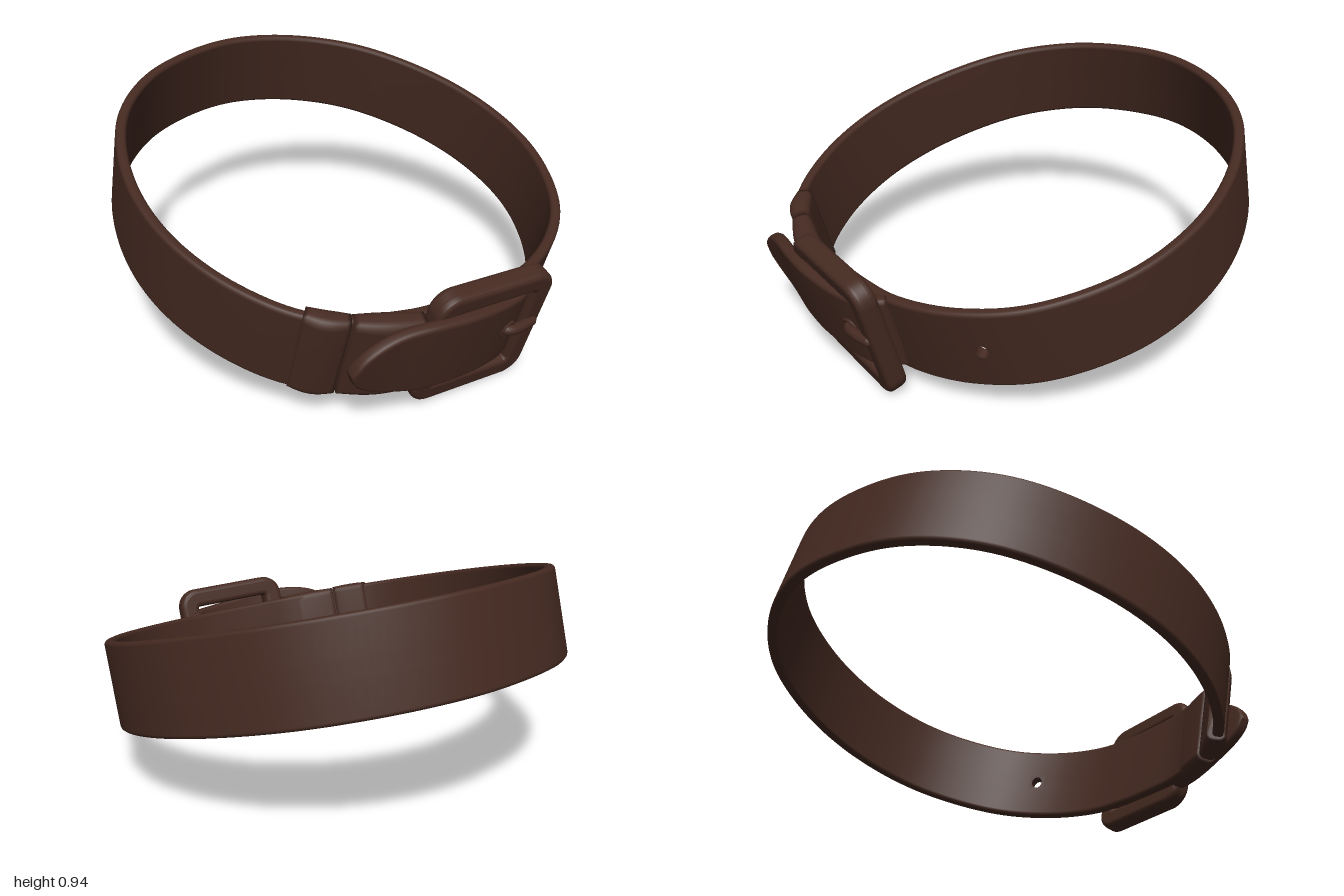
import * as THREE from 'three';

const leather = new THREE.MeshStandardMaterial({ color: 0x452a21 });
leather.name = 'dark brown';

const MID = 0.475;   // height of the strap's centre line before tilting
const THICK = 0.022; // half thickness of the strap
const HALF = 0.18;   // half width of the strap
const NOTCH = 0.035; // half size of the square around the punched hole

// Rounded rectangle: n is outward from the ring, v is up
function profile(h, H) {
  const r = Math.min(h, H) * 0.7, m = Math.min(NOTCH, H * 0.2);
  const pts = [[h, -m], [h, m]];
  const corner = (sx, sy, a0) => {
    for (let k = 0; k < 4; k++) {
      const a = a0 + (k / 3) * Math.PI / 2;
      pts.push([sx * (h - r) + r * Math.cos(a), sy * (H - r) + r * Math.sin(a)]);
    }
  };
  corner(1, 1, 0);
  corner(-1, 1, Math.PI / 2);
  pts.push([-h, m], [-h, -m]);
  corner(-1, -1, Math.PI);
  corner(1, -1, Math.PI * 1.5);
  return pts;
}

const outward = (curve, u) => {
  const t = curve.getTangentAt(u);
  return new THREE.Vector3(t.z, 0, -t.x).normalize();
};

// Sweep a strap profile along a curve; size(u, point) gives [half thickness, half width]
function sweep(curve, steps, size, closed = false, holeAt = -1) {
  const pos = [], idx = [];
  const rings = closed ? steps : steps + 1;
  let count = 0;
  for (let i = 0; i < rings; i++) {
    const p = curve.getPointAt(i / steps), n = outward(curve, i / steps);
    const pts = profile(...size(i / steps, p));
    count = pts.length;
    for (const [a, b] of pts) pos.push(p.x + n.x * a, p.y + b, p.z + n.z * a);
  }
  for (let i = 0; i < steps; i++) {
    const i2 = (i + 1) % rings;
    for (let j = 0; j < count; j++) {
      // leave room for the punched plate on both faces
      if ((i === holeAt || i === holeAt - 1) && (j === 0 || j === 10)) continue;
      const k = (j + 1) % count;
      const a = i * count + j, b = i * count + k, c = i2 * count + k, d = i2 * count + j;
      idx.push(a, b, d, b, c, d);
    }
  }
  if (!closed) {
    for (const end of [0, steps]) {
      const p = curve.getPointAt(end / steps), centre = pos.length / 3;
      pos.push(p.x, p.y, p.z);
      for (let j = 0; j < count; j++) {
        const a = end * count + j, b = end * count + (j + 1) % count;
        if (end === 0) idx.push(centre, b, a);
        else idx.push(centre, a, b);
      }
    }
  }
  const g = new THREE.BufferGeometry();
  g.setAttribute('position', new THREE.Float32BufferAttribute(pos, 3));
  g.setIndex(idx);
  g.computeVertexNormals();
  return g;
}

const path = (pts, closed = false) => new THREE.CatmullRomCurve3(
  pts.map(([x, z, y = MID]) => new THREE.Vector3(x, y, z)), closed, 'centripetal');

function roundedRect(target, w, h, r) {
  target.moveTo(-w + r, -h);
  target.lineTo(w - r, -h);
  target.absarc(w - r, -h + r, r, -Math.PI / 2, 0);
  target.absarc(w - r, h - r, r, 0, Math.PI / 2);
  target.absarc(-w + r, h - r, r, Math.PI / 2, Math.PI);
  target.absarc(-w + r, -h + r, r, Math.PI, Math.PI * 1.5);
  return target;
}

export function createModel() {
  const model = new THREE.Group();
  const belt = new THREE.Group();
  belt.name = 'belt';
  belt.rotation.x = 0.285;
  model.add(belt);
  const add = (name, geo) => {
    const m = new THREE.Mesh(geo, leather);
    m.name = name;
    belt.add(m);
    return m;
  };

  // Main ring, slightly flattened at the front
  const ring = path([
    [0.885, -0.15], [0.83, 0.17], [0.64, 0.47], [0.42, 0.62], [0.18, 0.69], [0, 0.69],
    [-0.2, 0.665], [-0.36, 0.63], [-0.66, 0.48], [-0.82, 0.23], [-0.89, -0.1], [-0.84, -0.45],
    [-0.66, -0.8], [-0.4, -1.01], [-0.1, -1.1], [0.15, -1.1], [0.42, -1.0], [0.66, -0.8], [0.83, -0.48],
  ], true);
  const steps = 160, target = new THREE.Vector3(0.475, MID, 0.59);
  let hole = 0, best = 9;
  for (let i = 0; i < steps; i++) {
    const d = ring.getPointAt(i / steps).distanceTo(target);
    if (d < best) { best = d; hole = i; }
  }
  add('strap', sweep(ring, steps, () => [THICK, HALF], true, hole));

  // Small plate with the punched hole
  const half = ring.getLength() / steps + 0.001;
  const square = new THREE.Shape();
  square.moveTo(-half, -NOTCH).lineTo(half, -NOTCH).lineTo(half, NOTCH).lineTo(-half, NOTCH).closePath();
  square.holes.push(new THREE.Path().absellipse(0, 0, 0.024, 0.03, 0, Math.PI * 2, true));
  const plateGeo = new THREE.ExtrudeGeometry(square, { depth: THICK * 2, bevelEnabled: false, curveSegments: 16 });
  plateGeo.translate(0, 0, -THICK);
  const plate = add('punchedHole', plateGeo);
  const n = outward(ring, hole / steps);
  plate.position.copy(ring.getPointAt(hole / steps));
  plate.rotation.y = Math.atan2(n.x, n.z);

  // Keeper loop, folded end and the inner flap under the buckle
  const bulge = (h, H) => (u) => {
    const k = 0.75 + 0.25 * Math.sin(Math.PI * u);
    return [h * k, H + 0.012 * (k - 1)];
  };
  add('keeperLoop', sweep(path([[-0.69, 0.44], [-0.64, 0.5], [-0.57, 0.55]]), 10, bulge(0.046, 0.19)));
  add('foldedEnd', sweep(path([[-0.565, 0.555], [-0.45, 0.62], [-0.33, 0.675]]), 14, bulge(0.05, 0.187)));
  add('innerFlap', sweep(path([[0.02, 0.7], [-0.15, 0.695], [-0.36, 0.66]]), 14, () => [0.03, 0.17]));

  // Free end of the strap with its rounded tip
  const tip = path([
    [0.15, 0.705, 0.49], [0.09, 0.765, 0.51], [0, 0.785, 0.517], [-0.2, 0.78, 0.535],
    [-0.35, 0.75, 0.54], [-0.5, 0.705, 0.545], [-0.655, 0.675, 0.545],
  ]);
  add('strapTip', sweep(tip, 60, (u, p) => {
    const k = Math.min(1, Math.max(0, (-0.32 - p.x) / 0.335));
    return [0.025 * (k > 0.96 ? 0.75 : 1), 0.166 * Math.pow(Math.max(0.003, 1 - k * k), 0.55)];
  }));

  // Buckle frame
  const frame = roundedRect(new THREE.Shape(), 0.24, 0.248, 0.065);
  frame.holes.push(roundedRect(new THREE.Path(), 0.197, 0.205, 0.03));
  const frameGeo = new THREE.ExtrudeGeometry(frame, {
    depth: 0.035, bevelThickness: 0.024, bevelSize: 0.022, bevelSegments: 4, curveSegments: 8,
  });
  frameGeo.translate(0, 0, -0.0175);
  const buckle = add('buckleFrame', frameGeo);
  buckle.position.set(-0.08, 0.507, 0.748);
  buckle.rotation.y = -0.18;

  // Buckle pin, with the eyelet it comes through
  const pin = new THREE.CatmullRomCurve3([
    [-0.01, 0.53, 0.77], [0.01, 0.53, 0.812], [0.06, 0.53, 0.825], [0.13, 0.53, 0.825],
  ].map((p) => new THREE.Vector3(...p)));
  add('bucklePin', new THREE.TubeGeometry(pin, 16, 0.022, 10));
  const pinEnd = add('pinEnd', new THREE.SphereGeometry(0.022, 10, 8));
  pinEnd.position.set(0.13, 0.53, 0.825);
  const eyelet = add('eyelet', new THREE.TorusGeometry(0.032, 0.009, 8, 20));
  eyelet.position.set(0.01, 0.53, 0.808);

  return model;
}
